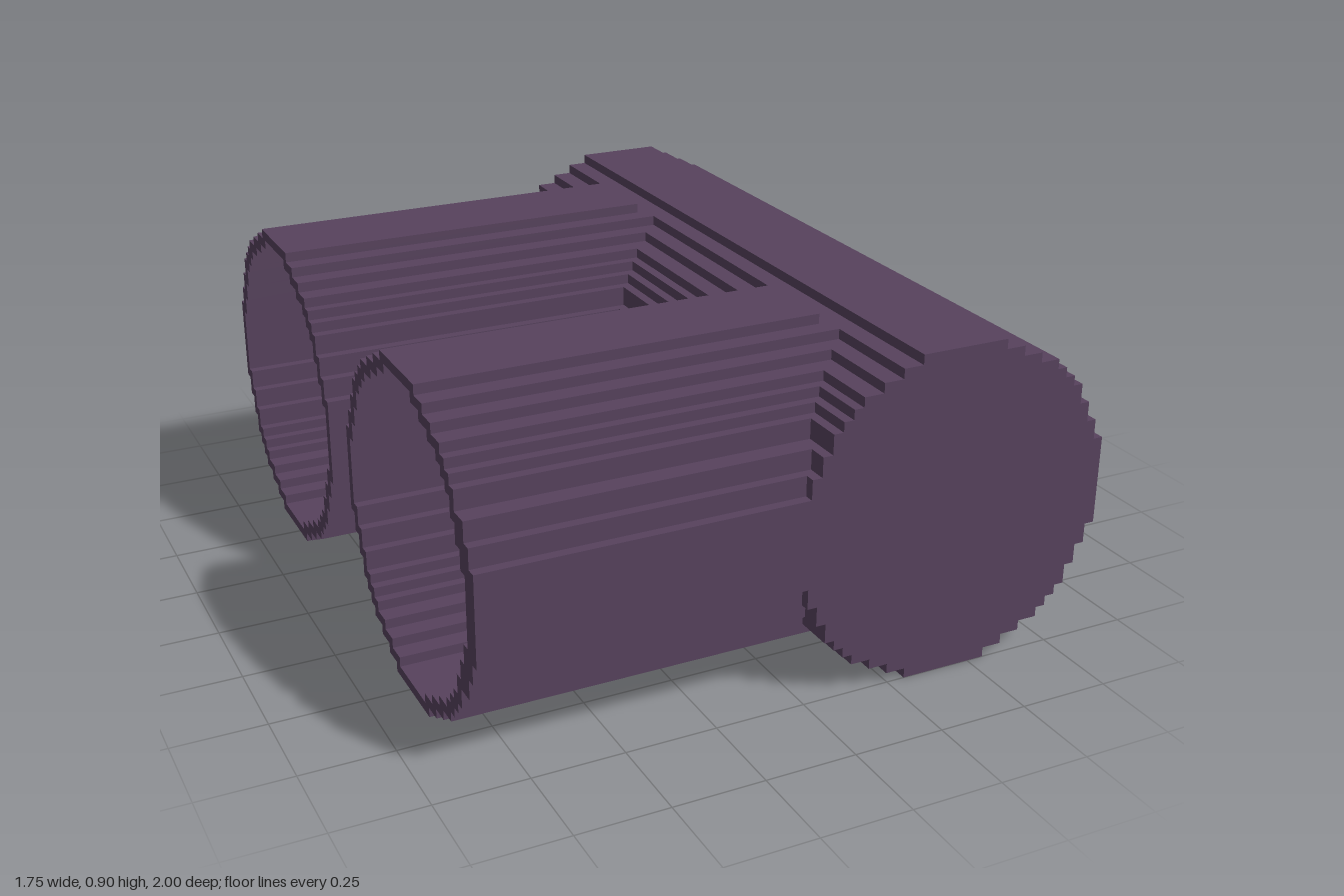
import * as THREE from 'three';

const UNIT = 2 / 73; // one step of the stair-stepped outlines

// corners (half width, half height) of one quarter of the stepped circle
const STEPS = [
  [16.5, 4.5], [15.5, 6.5], [14.5, 8.5], [13.5, 10.5], [12.5, 11.5],
  [11.5, 12.5], [10.5, 13.5], [8.5, 14.5], [6.5, 15.5], [4.5, 16.5],
];

// closed stepped outline; bulge pushes the widest rows of the -x half outwards
function outline(steps, inset = 0, bulge = 0) {
  const quarter = [];
  steps.forEach(([w, h], i) => {
    if (i > 0) quarter.push([w - inset, steps[i - 1][1] - inset]);
    quarter.push([w - inset, h - inset]);
  });
  const back = [...quarter].reverse();
  const left = ([x, y]) => [-(x > 14 ? x + bulge : x), y];
  const flip = ([x, y]) => [x, -y];
  return [
    ...quarter,
    ...back.map(left),
    ...quarter.map(left).map(flip),
    ...back.map(flip),
  ].map(([x, y]) => new THREE.Vector2(x, y));
}

function extrude(shape, depth) {
  return new THREE.ExtrudeGeometry(shape, { depth, bevelEnabled: false });
}

export function createModel() {
  const plum = new THREE.MeshStandardMaterial({ name: 'plum', color: 0x57425d });
  const magenta = new THREE.MeshStandardMaterial({ name: 'magenta', color: 0x5e3360 });

  const model = new THREE.Group();
  model.name = 'twinTubeBody';
  const add = (name, geometry, material, x, y, z) => {
    const mesh = new THREE.Mesh(geometry, material);
    mesh.name = name;
    mesh.position.set(x, y, z);
    model.add(mesh);
  };

  // long solid cross cylinder
  add('crossCylinder', extrude(new THREE.Shape(outline(STEPS)), 73), plum, 15.5, 16.5, -36.5);

  // two open tubes running into the cross cylinder
  for (const [side, z, bulge] of [['back', -20, 0], ['front', 19, 1]]) {
    const wall = new THREE.Shape(outline(STEPS, 0, bulge));
    wall.holes.push(new THREE.Path(outline(STEPS, 1)));
    add(side + 'Tube', extrude(wall, 40).rotateY(Math.PI / 2), plum, -32, 16.5, z);

    // shallower rows that carry on into the cylinder past the top ridge
    const joint = new THREE.Shape(outline(STEPS.slice(0, -1), 0, bulge));
    add(side + 'TubeJoint', extrude(joint, 4).rotateY(Math.PI / 2), plum, 7, 16.5, z);

    // block resting against the inner wall
    const block = new THREE.Shape(
      [[-5.5, -6], [-14.5, -6], [-11, -11.5], [-5.5, -14.6]].map(([x, y]) => new THREE.Vector2(x, y)));
    add(side + 'InnerBlock', extrude(block, 7).rotateY(Math.PI / 2), magenta, -26, 16.5, z);
  }

  model.scale.setScalar(UNIT);
  const root = new THREE.Group();
  root.name = 'model';
  root.add(model);
  return root;
}
